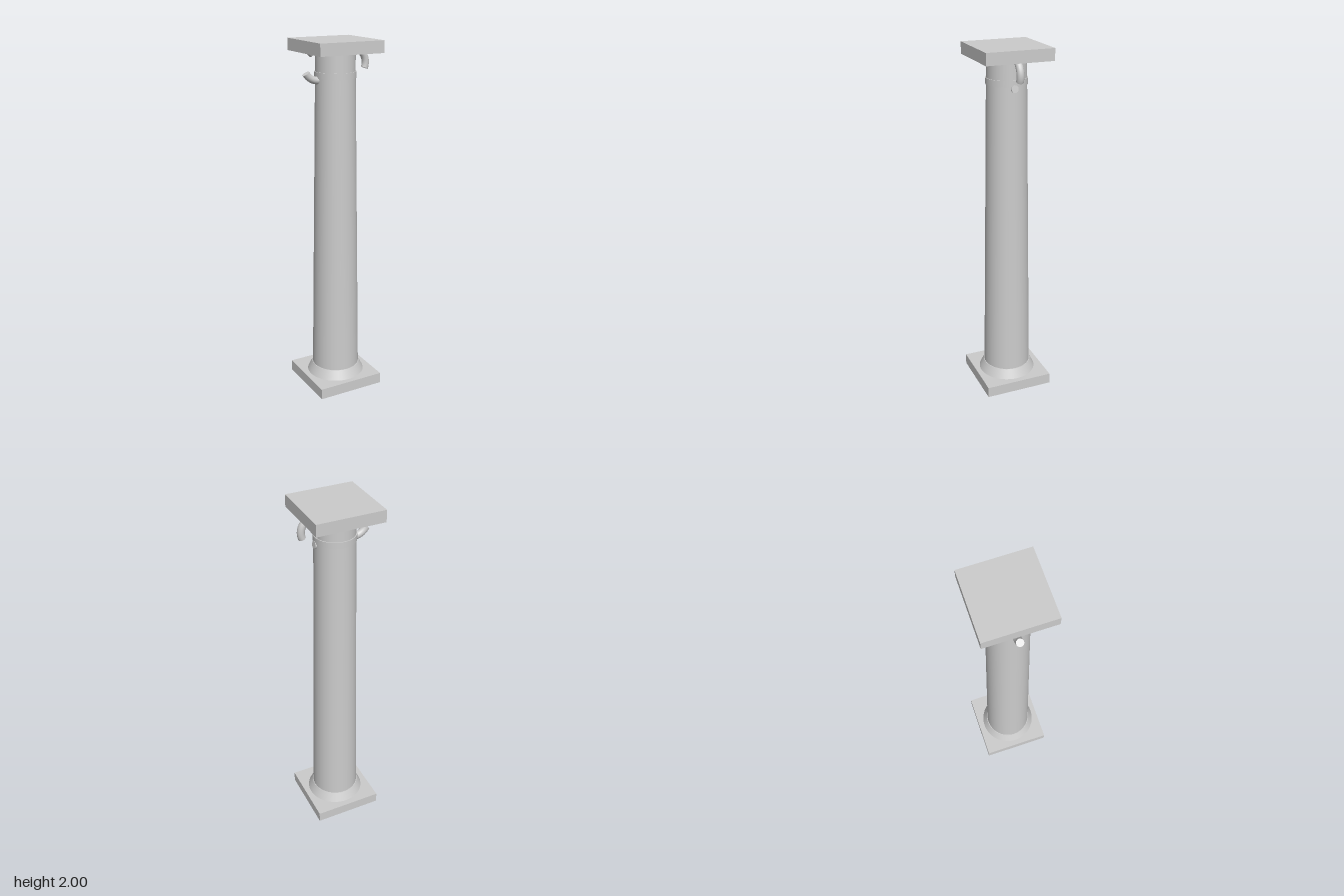
import * as THREE from 'three';

const material = new THREE.MeshStandardMaterial({ color: 0xcccccc });
const AXIS_X = -0.006;

export function createModel() {
  const column = new THREE.Group();
  column.name = 'column';

  const add = (name, geometry, x, y, z = 0, parent = column) => {
    const mesh = new THREE.Mesh(geometry, material);
    mesh.name = name;
    mesh.position.set(x, y, z);
    parent.add(mesh);
    return mesh;
  };

  // Square slab between two heights
  const slab = (name, size, y0, y1) =>
    add(name, new THREE.BoxGeometry(size, y1 - y0, size), AXIS_X, (y0 + y1) / 2, -0.002);

  // Round drum between two heights
  const drum = (name, r0, r1, y0, y1) =>
    add(name, new THREE.CylinderGeometry(r1, r0, y1 - y0, 48), AXIS_X, (y0 + y1) / 2);

  slab('basePlinth', 0.393, 0, 0.062);
  drum('baseFlare', 0.165, 0.139, 0.062, 0.115);
  drum('shaft', 0.135, 0.109, 0.115, 1.8);
  drum('neckRing', 0.113, 0.113, 1.8, 1.834);
  drum('neck', 0.108, 0.108, 1.834, 1.936);
  slab('topSlab', 0.375, 1.935, 2);

  // Broken scroll rings, open on the outer side, with closed ends
  const R = 0.079, r = 0.02;
  const scroll = (name, x, startDeg, arcDeg) => {
    const arc = THREE.MathUtils.degToRad(arcDeg);
    const group = new THREE.Group();
    group.name = name;
    group.position.set(x, 1.87, 0);
    group.rotation.z = THREE.MathUtils.degToRad(startDeg);
    add('ring', new THREE.TorusGeometry(R, r, 16, 48, arc), 0, 0, 0, group);
    const startCap = new THREE.CircleGeometry(r, 16).rotateX(Math.PI / 2).translate(R, 0, 0);
    const endCap = new THREE.CircleGeometry(r, 16).rotateX(-Math.PI / 2).translate(R, 0, 0).rotateZ(arc);
    add('startCap', startCap, 0, 0, 0, group);
    add('endCap', endCap, 0, 0, 0, group);
    column.add(group);
  };
  scroll('leftScroll', 0.1, -22, 300);
  scroll('rightScroll', -0.113, 210, 282);

  return column;
}
